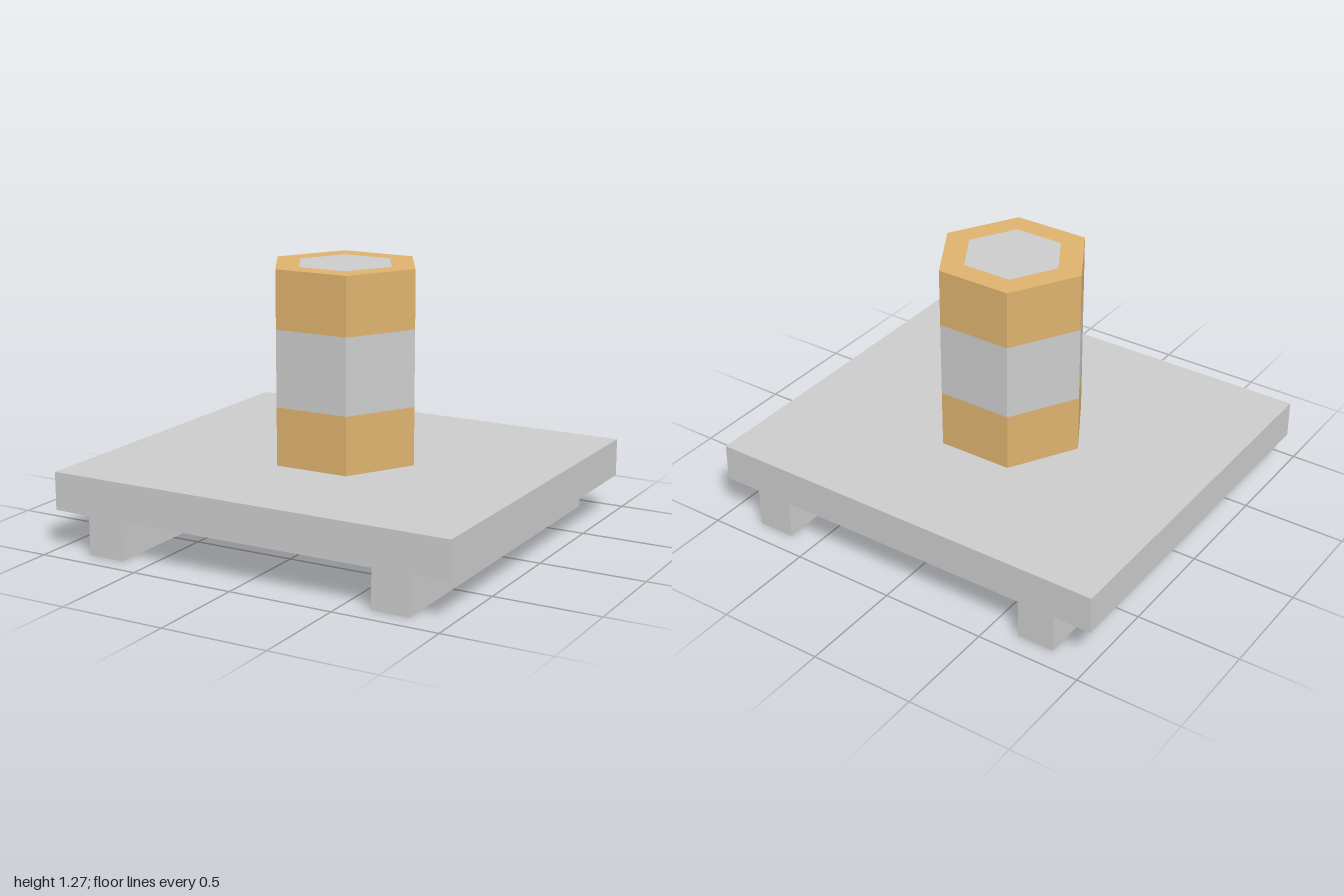
import * as THREE from 'three';

const grey = new THREE.MeshStandardMaterial({ color: 0xcccccc, flatShading: true });
const amber = new THREE.MeshStandardMaterial({ color: 0xddb26e, flatShading: true });

const SLAB_BOTTOM = 0.185, SLAB_TOP = 0.365, DEPTH = 1.8;
const RADIUS = 0.362, INNER_RADIUS = 0.24, COLUMN_TOP = 1.275;

function addPart(parent, name, geometry, material, x = 0, y = 0, z = 0) {
  const mesh = new THREE.Mesh(geometry, material);
  mesh.name = name;
  mesh.position.set(x, y, z);
  parent.add(mesh);
  return mesh;
}

export function createModel() {
  const model = new THREE.Group();
  model.name = 'columnOnPlatform';

  // Square slab on two full-depth runners
  addPart(model, 'platform', new THREE.BoxGeometry(2, SLAB_TOP - SLAB_BOTTOM, DEPTH), grey,
    0, (SLAB_TOP + SLAB_BOTTOM) / 2);
  for (const [name, side] of [['leftRunner', 1], ['rightRunner', -1]]) {
    addPart(model, name, new THREE.BoxGeometry(0.18, SLAB_BOTTOM, DEPTH), grey,
      side * 0.725, SLAB_BOTTOM / 2);
  }

  // Hexagonal column with corners on the x axis, in three coloured bands
  const column = new THREE.Group();
  column.name = 'column';
  model.add(column);
  const bands = [
    ['lowerBand', SLAB_TOP, 0.64, amber],
    ['middleBand', 0.64, 1.0, grey],
    ['upperBand', 1.0, COLUMN_TOP, amber],
  ];
  for (const [name, from, to, material] of bands) {
    const band = new THREE.CylinderGeometry(RADIUS, RADIUS, to - from, 6, 1, true, Math.PI / 2);
    addPart(column, name, band, material, 0, (from + to) / 2);
  }

  // Flat top: coloured rim around a grey hexagon
  const rim = new THREE.RingGeometry(INNER_RADIUS, RADIUS, 6).rotateX(-Math.PI / 2);
  addPart(column, 'topRim', rim, amber, 0, COLUMN_TOP);
  const core = new THREE.CircleGeometry(INNER_RADIUS, 6).rotateX(-Math.PI / 2);
  addPart(column, 'topCentre', core, grey, 0, COLUMN_TOP);

  return model;
}
